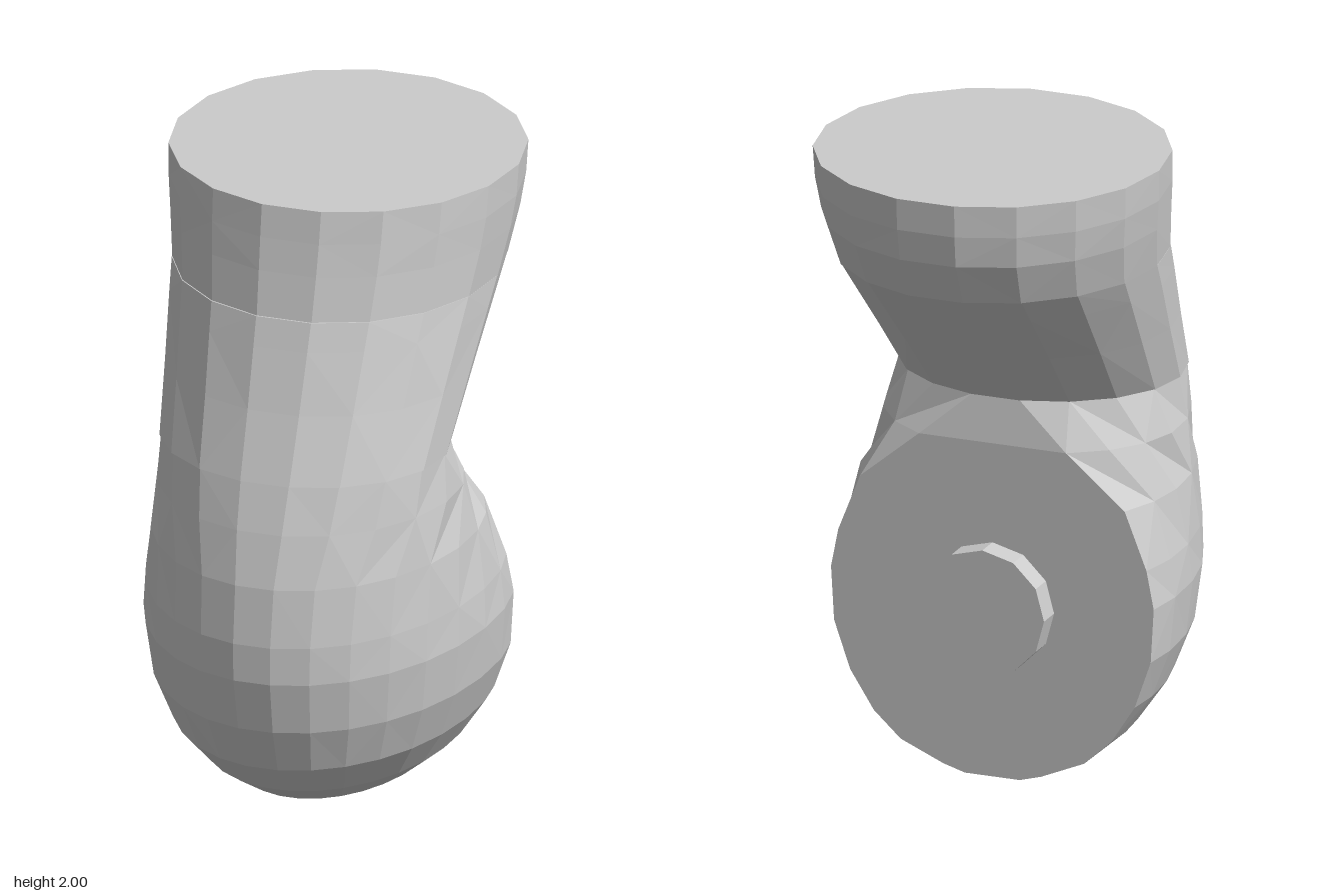
import * as THREE from 'three';

const SIDES = 18;
const BACK = -0.185; // plane of the flat rear face

// One horizontal ring: half width rx, widest at zc, reaching zf in front and zb behind.
// A ring that would pass the rear plane is cut off there.
function ring([y, rx, zc, zf, zb]) {
  const cut = (arguments[1] - zc) / (zc - zb);
  const limit = Math.PI * (1 - 1 / SIDES);
  const tMax = cut > -1 ? Math.min(limit, Math.acos(cut)) : limit;
  return Array.from({ length: SIDES }, (_, j) => {
    const t = -tMax + (2 * tMax * j) / (SIDES - 1);
    const c = Math.cos(t);
    return [rx * Math.sin(t), y, zc + c * (c > 0 ? zf - zc : zc - zb)];
  });
}

// Closed solid through a stack of rings, listed from bottom to top
function loft(name, sections, backPlane, material) {
  const rings = sections.map((s) => ring(s, backPlane));
  const pos = [];
  const tri = (a, b, c) => pos.push(...a, ...b, ...c);
  for (let i = 0; i < rings.length - 1; i++) {
    for (let j = 0; j < SIDES; j++) {
      const k = (j + 1) % SIDES;
      const [a, b, c, d] = [rings[i][j], rings[i][k], rings[i + 1][k], rings[i + 1][j]];
      if ((i + j) % 2) { tri(a, b, c); tri(a, c, d); }
      else { tri(a, b, d); tri(b, c, d); }
    }
  }
  const low = rings[0], high = rings[rings.length - 1];
  for (let j = 1; j < SIDES - 1; j++) {
    tri(low[0], low[j + 1], low[j]);
    tri(high[0], high[j], high[j + 1]);
  }
  const geometry = new THREE.BufferGeometry();
  geometry.setAttribute('position', new THREE.Float32BufferAttribute(pos, 3));
  geometry.computeVertexNormals();
  const mesh = new THREE.Mesh(geometry, material);
  mesh.name = name;
  return mesh;
}

export function createModel() {
  const group = new THREE.Group();
  group.name = 'bentLimb';
  const material = new THREE.MeshStandardMaterial({ color: 0xcccccc, flatShading: true });

  // Rounded lower bulb with a flat rear face: [y, rx, zc, zFront, zBack]
  group.add(loft('lowerBulb', [
    [0.0, 0.09, -0.14, -0.02, -0.4],
    [0.02, 0.16, -0.13, 0.1, -0.5],
    [0.08, 0.3, -0.12, 0.37, -0.6],
    [0.16, 0.39, -0.1, 0.5, -0.6],
    [0.28, 0.47, -0.08, 0.625, -0.62],
    [0.43, 0.525, -0.06, 0.69, -0.65],
    [0.6, 0.54, -0.03, 0.725, -0.65],
    [0.72, 0.527, 0.0, 0.725, -0.58],
    [0.9, 0.495, 0.08, 0.7, -0.45],
    [1.06, 0.465, 0.15, 0.655, -0.24],
    [1.2, 0.44, 0.215, 0.605, -0.165],
  ], BACK, material));

  // Slanted middle sleeve
  group.add(loft('middleSleeve', [
    [1.2, 0.445, 0.215, 0.605, -0.17],
    [1.4, 0.468, 0.08, 0.525, -0.365],
    [1.58, 0.49, -0.04, 0.46, -0.55],
    [1.665, 0.5, -0.1, 0.43, -0.635],
  ], -9, material));

  // Upper cuff with a flat top
  group.add(loft('upperCuff', [
    [1.665, 0.5, -0.105, 0.425, -0.64],
    [1.8, 0.522, -0.155, 0.395, -0.705],
    [1.9, 0.535, -0.175, 0.375, -0.72],
    [2.0, 0.54, -0.183, 0.357, -0.724],
  ], -9, material));

  // Round plug on the rear face
  const plug = new THREE.Mesh(new THREE.CylinderGeometry(0.2, 0.2, 0.12, 12), material);
  plug.rotation.x = Math.PI / 2;
  plug.position.set(0, 0.545, -0.205);
  plug.name = 'rearPlug';
  group.add(plug);

  return group;
}
